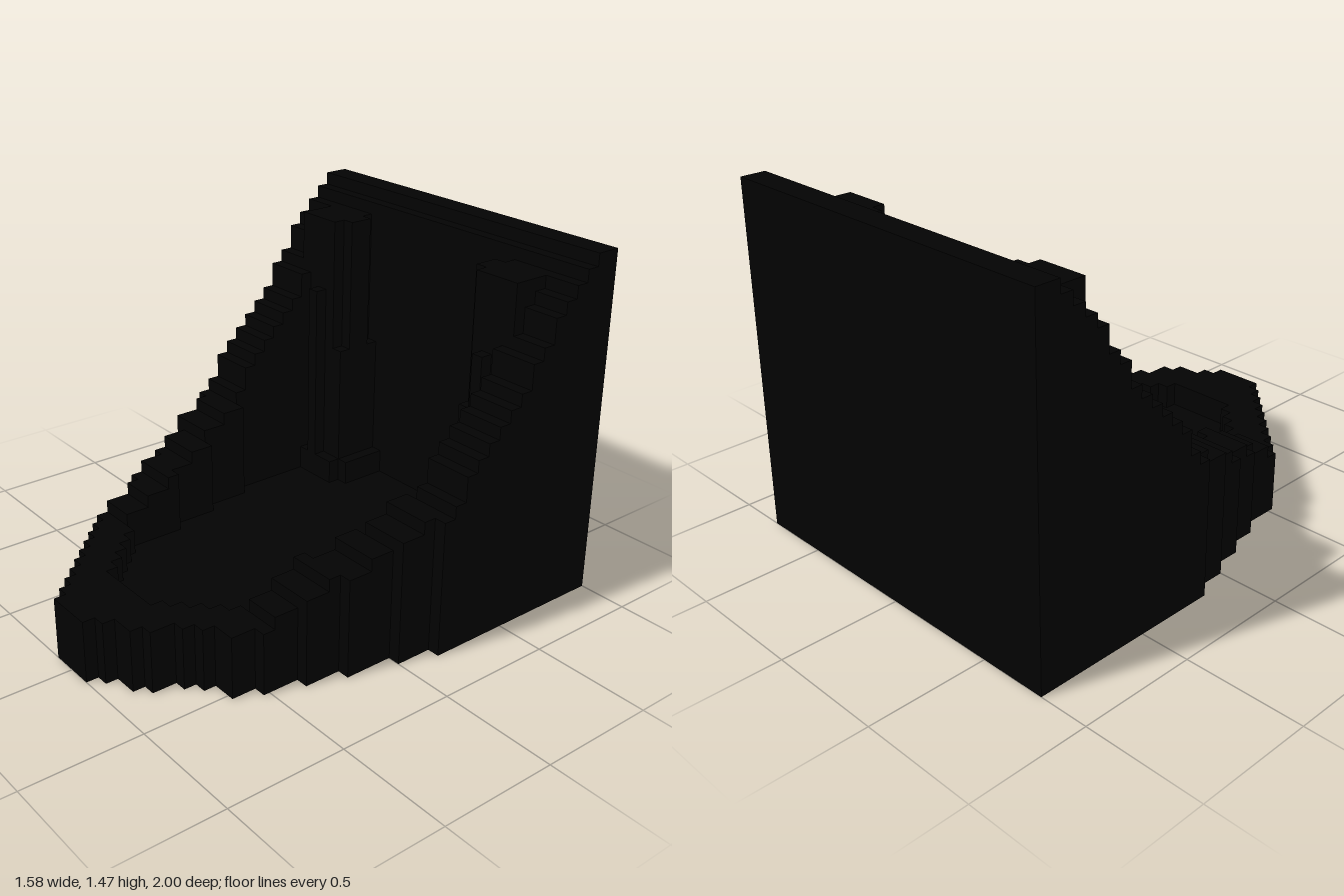
import * as THREE from 'three';

// The model is a stepped shell, open underneath, on a grid of square cells.
const CELL = 2 / 38, NX = 30, NZ = 38, HALF = 15;

// Look up a value from [endRow, value] runs, counted from the back.
const run = (runs, k) => {
  const hit = runs.find(([end]) => k < end);
  return hit ? hit[1] : 0;
};

// Half-widths of the outline on each side, in cells
const OUT_RIGHT = [[16, 15], [19, 14], [22, 13], [25, 12], [29, 11], [30, 10], [31, 9],
  [32, 8], [33, 7], [34, 6], [35, 5], [36, 4], [37, 3], [38, 2]];
const OUT_LEFT = [[16, 15], [19, 14], [23, 13], [26, 12], [29, 11], [31, 10],
  [32, 8], [33, 7], [35, 6], [36, 5], [37, 3], [38, 2]];

// Half-width of the sunken floor
const FLOOR_WIDTH = [[15, 11], [19, 10], [23, 9], [28, 8], [29, 7], [30, 6], [31, 5], [32, 4], [33, 3]];

// Height of the walls, falling in steps towards the front
const WALL_HEIGHT = [[2, 28], [3, 27], [4, 26], [5, 25], [6, 24], [7, 22], [8, 21], [9, 19],
  [10, 18], [11, 17], [12, 16], [13, 15], [14, 14], [15, 12], [17, 11], [19, 10],
  [21, 9], [24, 8], [26, 7], [28, 6], [38, 5]];
const FLOOR_HEIGHT = 3;

// Height of a pillar cell: a shaft with lower inner corners, a rib and a base
function pillarAt(a, k) {
  if (a === 7 && (k === 3 || k === 6)) return { part: 'PillarCorner', h: 15 };
  if (k < 7 && a >= 7 && a < 12) return { part: 'Pillar', h: 26 };
  if (k === 7 && a === 9) return { part: 'PillarRib', h: 20 };
  if (a < 11 && (a >= 7 || (a === 6 && k < 7)) && k < 8) return { part: 'PillarBase', h: 5 };
  return null;
}

// Part and height of one cell
function cellAt(i, k) {
  const none = { part: null, h: 0 };
  if (i < 0 || i >= NX || k < 0 || k >= NZ) return none;
  const left = i >= HALF;
  const a = left ? i - HALF : HALF - 1 - i; // cells from the middle
  if (a >= run(left ? OUT_LEFT : OUT_RIGHT, k)) return none;
  const wall = run(WALL_HEIGHT, k);
  const side = left ? 'left' : 'right';
  if (k < 3) return { part: 'backWall', h: wall };
  const pillar = pillarAt(a, k);
  if (pillar) return { part: side + pillar.part, h: pillar.h };
  if (a < run(FLOOR_WIDTH, k)) return { part: 'floor', h: FLOOR_HEIGHT };
  return { part: k >= 28 ? 'frontRim' : side + 'Wall', h: wall };
}

export function createModel() {
  const group = new THREE.Group();
  const material = new THREE.MeshStandardMaterial({
    color: 0x030303, flatShading: true, side: THREE.DoubleSide,
  });
  const faces = {};

  // Add a quad, corners counter-clockwise in grid units
  const quad = (part, a, b, c, d) => {
    const list = (faces[part] ??= []);
    for (const [x, y, z] of [a, b, c, a, c, d]) {
      list.push((x - NX / 2) * CELL, y * CELL, (z - NZ / 2) * CELL);
    }
  };

  for (let i = 0; i < NX; i++) {
    for (let k = 0; k < NZ; k++) {
      const { part, h } = cellAt(i, k);
      if (!part) continue;
      // Top of the step
      quad(part, [i, h, k], [i, h, k + 1], [i + 1, h, k + 1], [i + 1, h, k]);
      // Risers down to each lower neighbour: [di, dk, start corner, end corner]
      const sides = [
        [1, 0, [i + 1, k + 1], [i + 1, k]],
        [-1, 0, [i, k], [i, k + 1]],
        [0, 1, [i, k + 1], [i + 1, k + 1]],
        [0, -1, [i + 1, k], [i, k]],
      ];
      for (const [di, dk, p, q] of sides) {
        const low = cellAt(i + di, k + dk).h;
        if (low >= h) continue;
        quad(part, [p[0], low, p[1]], [q[0], low, q[1]], [q[0], h, q[1]], [p[0], h, p[1]]);
      }
    }
  }

  // One mesh per part
  for (const [name, positions] of Object.entries(faces)) {
    const geometry = new THREE.BufferGeometry();
    geometry.setAttribute('position', new THREE.Float32BufferAttribute(positions, 3));
    geometry.computeVertexNormals();
    const mesh = new THREE.Mesh(geometry, material);
    mesh.name = name;
    group.add(mesh);
  }
  return group;
}
